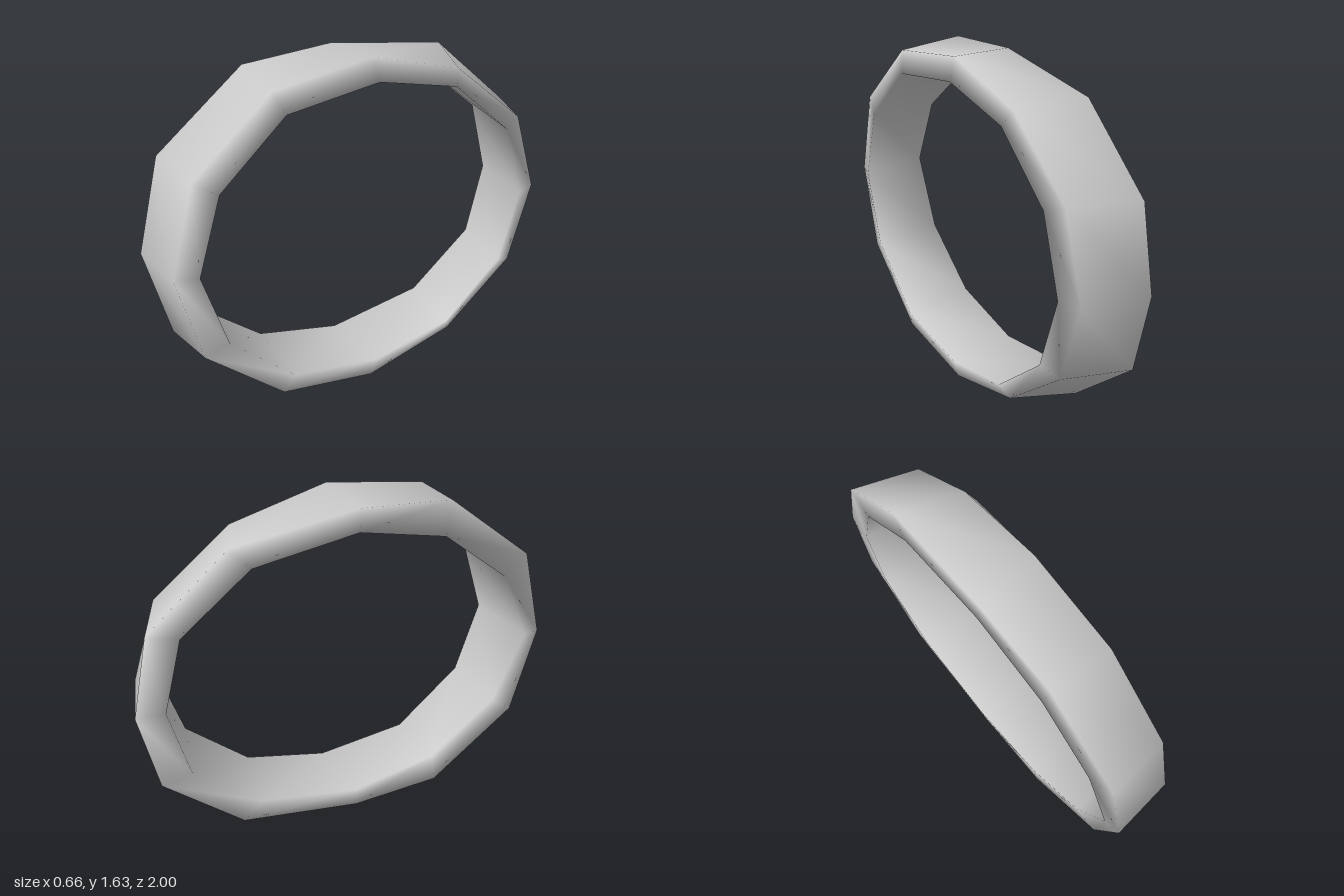
import * as THREE from 'three';

const MID_Y = 0.815;

// Four rails of the band, each the upper half from front to back as [z, height],
// lying in a tilted plane x = x0 + slope * z. The lower half is mirrored.
const RAILS = [
  { x0: -0.157, slope: -0.176, // outer rail, right side
    pts: [[0.98, 0], [0.87, 0.44], [0.46, 0.775], [0.03, 0.805], [-0.55, 0.72], [-0.92, 0.39], [-1, 0]] },
  { x0: 0.155, slope: -0.176, // outer rail, left side
    pts: [[1, 0], [0.89, 0.42], [0.52, 0.745], [0.05, 0.815], [-0.4, 0.69], [-0.76, 0.39], [-0.88, 0]] },
  { x0: 0.19, slope: -0.18, // inner rail, left side
    pts: [[0.9, 0], [0.79, 0.36], [0.48, 0.645], [0.04, 0.71], [-0.36, 0.62], [-0.66, 0.355], [-0.77, 0]] },
  { x0: -0.17, slope: -0.178, // inner rail, right side
    pts: [[0.9, 0], [0.75, 0.35], [0.43, 0.61], [0.02, 0.7], [-0.46, 0.62], [-0.78, 0.355], [-0.87, 0]] },
];

// Closed loop of twelve points from a half rail
function closeRail({ x0, slope, pts }) {
  const lower = pts.slice(1, -1).reverse().map(([z, h]) => [z, -h]);
  return [...pts, ...lower].map(([z, h]) => [x0 + slope * z, MID_Y + h, z]);
}

// Skin a ring of four-cornered sections with shared, smooth normals
function bandGeometry() {
  const loops = RAILS.map(closeRail);
  const n = loops[0].length;
  const m = loops.length;
  const positions = [];
  const index = [];
  for (let i = 0; i < n; i++) {
    for (let k = 0; k < m; k++) {
      positions.push(...loops[k][i]);
      const a = i * m + k;
      const b = i * m + (k + 1) % m;
      const c = ((i + 1) % n) * m + k;
      const d = ((i + 1) % n) * m + (k + 1) % m;
      index.push(a, b, c, b, d, c);
    }
  }
  const geometry = new THREE.BufferGeometry();
  geometry.setAttribute('position', new THREE.Float32BufferAttribute(positions, 3));
  geometry.setIndex(index);
  geometry.computeVertexNormals();
  return geometry;
}

export function createModel() {
  const group = new THREE.Group();
  group.name = 'ring';
  const band = new THREE.Mesh(bandGeometry(), new THREE.MeshStandardMaterial({ color: 0xcccccc }));
  band.name = 'band';
  group.add(band);
  return group;
}
